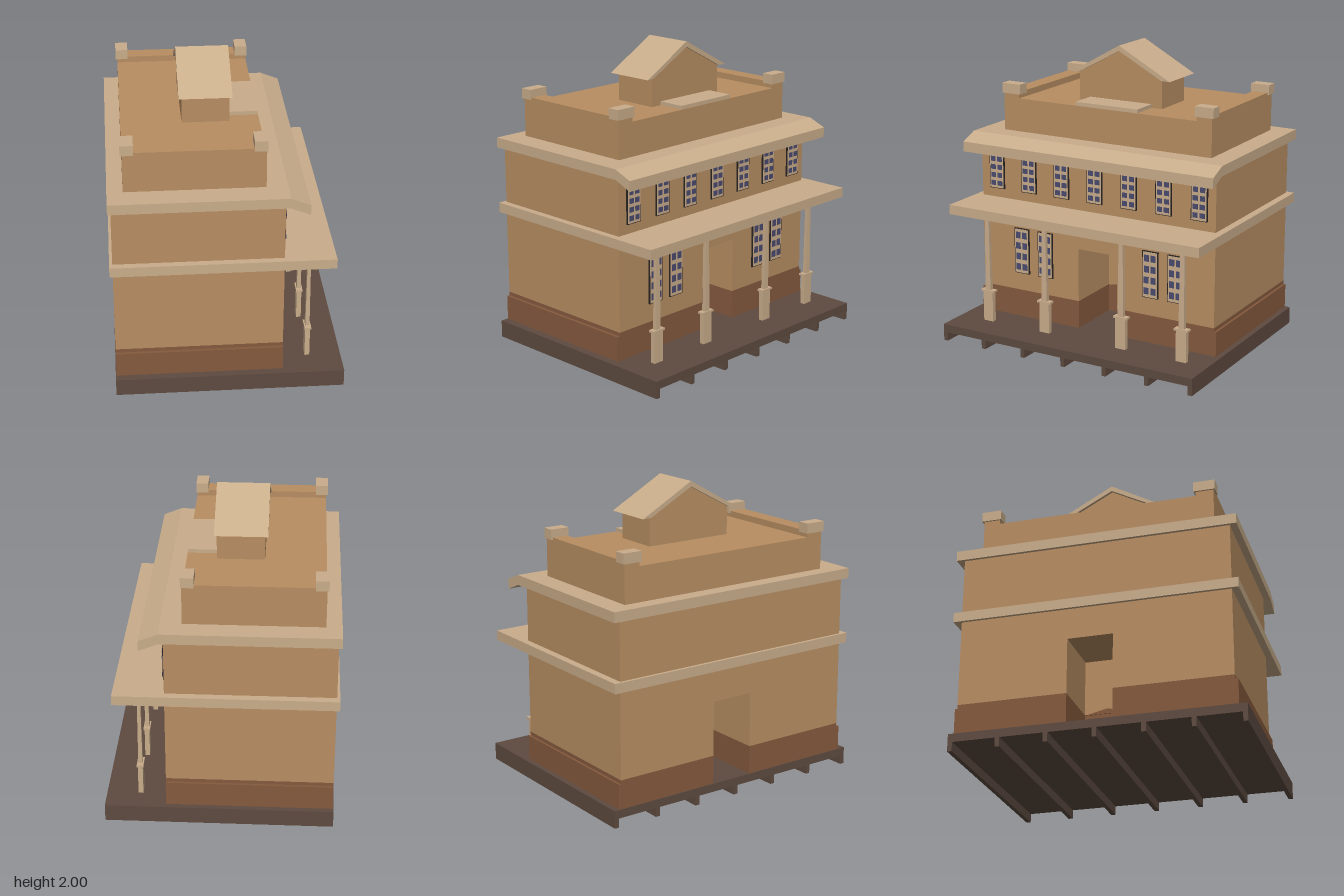
import * as THREE from 'three';

const paint = (color) => new THREE.MeshStandardMaterial({ color, flatShading: true });
const wall = paint(0xb88e62), trim = paint(0xc9ad8b), brown = paint(0x855a3e);
const deckWood = paint(0x5e4b40), glass = paint(0x4a4a70), dark = paint(0x2a2422);

export function createModel() {
  const root = new THREE.Group();

  const add = (name, geometry, material, parent = root) => {
    const mesh = new THREE.Mesh(geometry, material);
    mesh.name = name;
    parent.add(mesh);
    return mesh;
  };
  // Box given by its extents
  const box = (name, mat, x0, x1, y0, y1, z0, z1, parent) => {
    const g = new THREE.BoxGeometry(x1 - x0, y1 - y0, z1 - z0);
    g.translate((x0 + x1) / 2, (y0 + y1) / 2, (z0 + z1) / 2);
    return add(name, g, mat, parent);
  };
  const shapeOf = (pts) => new THREE.Shape(pts.map(([x, y]) => new THREE.Vector2(x, y)));
  const extrude = (pts, depth) =>
    new THREE.ExtrudeGeometry(shapeOf(pts), { depth, bevelEnabled: false });
  // Profile drawn in (z, y), extruded from x0 to x1
  const extrudeX = (pts, x0, x1) =>
    extrude(pts.map(([z, y]) => [-z, y]), x1 - x0).rotateY(Math.PI / 2).translate(x0, 0, 0);

  // Deck on seven joists
  box('deck', deckWood, -0.735, 0.74, 0.06, 0.115, -0.945, 0.945);
  for (let i = -3; i <= 3; i++) {
    const z = i * 0.31;
    box('joist', deckWood, -0.735, 0.74, 0, 0.06, z - 0.015, z + 0.015);
  }

  // Ground floor, with a deep doorway in the porch side and one in the back
  const X0 = -0.73, X1 = 0.345, D0 = -0.18, D1 = 0.115, IN0 = -0.35, IN1 = -0.05;
  const storey = (name, mat, y0, y1, z0, z1) => {
    const plan = [
      [X0, z0], [X1, z0], [X1, D0], [IN1, D0], [IN1, D1], [X1, D1],
      [X1, z1], [X0, z1], [X0, D1], [IN0, D1], [IN0, D0], [X0, D0],
    ];
    const g = extrude(plan.map(([x, z]) => [x, -z]), y1 - y0);
    add(name, g.rotateX(-Math.PI / 2).translate(0, y0, 0), mat);
  };
  storey('basePlinth', brown, 0.115, 0.28, -0.909, 0.893);
  storey('baseBand', brown, 0.28, 0.305, -0.893, 0.872);
  storey('groundFloorWalls', wall, 0.305, 0.67, -0.893, 0.872);
  const peak = [[D0, 0.3], [D1, 0.3], [-0.03, 0.335]];
  add('doorwayPeak', extrudeX(peak, IN1, IN1 + 0.004), brown);
  add('doorwayPeak', extrudeX(peak, IN0 - 0.004, IN0), brown);
  box('upperWalls', wall, X0, X1, 0.67, 1.32, -0.893, 0.872);

  // Porch roof and main cornice with its sloping awning
  box('porchRoof', trim, -0.75, 0.67, 0.875, 0.94, -0.943, 0.918);
  const awning = [
    [-0.75, 1.318], [0.37, 1.318], [0.493, 1.267], [0.493, 1.335], [0.37, 1.385], [-0.75, 1.385],
  ];
  add('corniceAndAwning', extrude(awning, 1.861).translate(0, 0, -0.943), trim);

  // Attic, end parapets and corner caps
  box('attic', wall, -0.65, 0.235, 1.385, 1.61, -0.8, 0.757);
  for (const [z0, z1] of [[-0.8, -0.692], [0.64, 0.757]]) {
    box('parapet', wall, -0.65, 0.235, 1.61, 1.652, z0, z1);
    for (const x of [-0.62, 0.2])
      box('parapetCap', trim, x - 0.041, x + 0.041, 1.638, 1.705, z0 - 0.013, z1 + 0.011);
  }

  // Gabled dormer and the low slab in front of it
  const gable = [[-0.342, 1.61], [0.278, 1.61], [0.278, 1.8], [-0.03, 1.966], [-0.342, 1.8]];
  add('dormerWalls', extrudeX(gable, -0.26, 0.045), wall);
  const roof = [
    [0.33, 1.796], [-0.03, 2], [-0.405, 1.796], [-0.342, 1.798], [-0.03, 1.964], [0.278, 1.798],
  ];
  add('dormerRoof', extrudeX(roof, -0.28, 0.06), trim);
  box('roofSlab', trim, 0.045, 0.232, 1.61, 1.635, -0.265, 0.197);

  // Porch posts: square pedestal, cap, tapered shaft and flared capital
  const frustum = (rTop, rBottom, y0, y1) =>
    new THREE.CylinderGeometry(rTop * Math.SQRT2, rBottom * Math.SQRT2, y1 - y0, 4)
      .rotateY(Math.PI / 4).translate(0, (y0 + y1) / 2, 0);
  for (const z of [0.718, 0.268, -0.315, -0.757]) {
    const post = new THREE.Group();
    post.name = 'porchPost';
    post.position.set(0.52, 0, z);
    box('pedestal', trim, -0.016, 0.016, 0.115, 0.322, -0.037, 0.037, post);
    box('pedestalCap', trim, -0.022, 0.022, 0.322, 0.336, -0.05, 0.05, post);
    add('shaft', frustum(0.015, 0.02, 0.336, 0.85).scale(0.7, 1, 1), trim, post);
    add('capital', frustum(0.045, 0.018, 0.845, 0.876).scale(0.4, 1, 1), trim, post);
    root.add(post);
  }

  // Windows: dark surround, pale frame, two by four panes
  const addWindow = (z, y0, y1) => {
    const win = new THREE.Group();
    win.name = 'window';
    const h = y1 - y0, row = (h - 0.02) / 4;
    box('surround', dark, X1, 0.355, y0, y1, z - 0.058, z + 0.058, win);
    box('frame', trim, X1, 0.358, y0 + 0.005, y1 - 0.005, z - 0.052, z + 0.052, win);
    for (let i = 0; i < 4; i++) {
      const y = y0 + 0.01 + row * (i + 0.5);
      for (const s of [-1, 1]) {
        const c = z + s * 0.025;
        box('pane', glass, 0.35, 0.36, y - row * 0.3, y + row * 0.3, c - 0.018, c + 0.018, win);
      }
    }
    root.add(win);
  };
  for (let i = 0; i < 7; i++) addWindow(0.748 - i * 0.2545, 1.002, 1.245);
  for (const z of [0.558, 0.372, -0.432, -0.617]) addWindow(z, 0.428, 0.745);

  return root;
}
